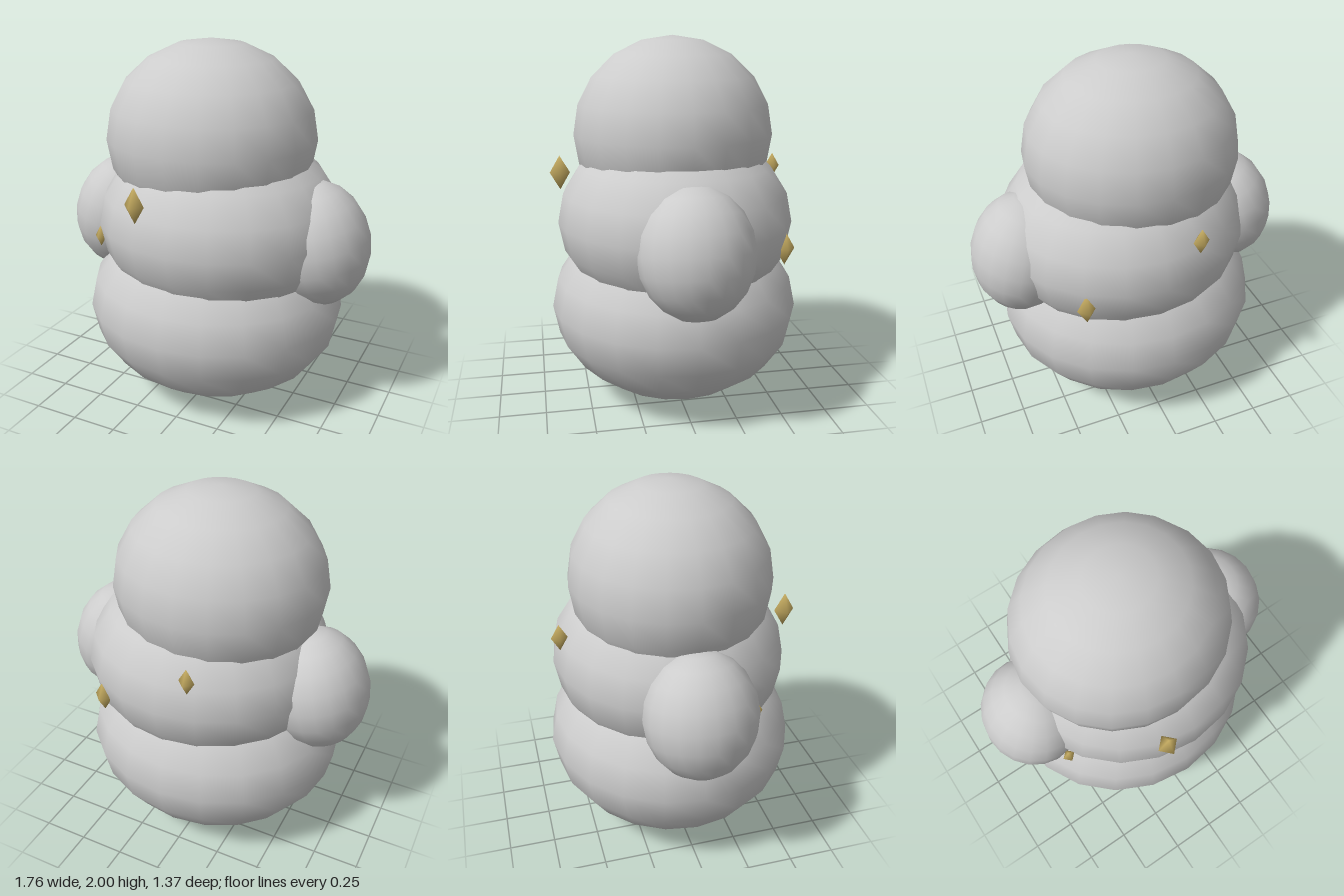
import * as THREE from 'three';

export function createModel() {
  const model = new THREE.Group();
  const stone = new THREE.MeshStandardMaterial({ color: 0xcccccc });
  stone.name = 'pale grey';
  const gold = new THREE.MeshStandardMaterial({ color: 0xc8ae62 });
  gold.name = 'soft gold';

  const ball = new THREE.SphereGeometry(1, 20, 10);
  const diamond = new THREE.SphereGeometry(1, 4, 2); // four-sided bipyramid

  const add = (name, geometry, material, position, radii, tilt = 0) => {
    const mesh = new THREE.Mesh(geometry, material);
    mesh.name = name;
    mesh.position.set(...position);
    mesh.scale.set(...radii);
    mesh.rotation.z = tilt;
    model.add(mesh);
  };

  // Stacked rounded body
  add('base', ball, stone, [0, 0.525, 0], [0.728, 0.52, 0.685]);
  add('torso', ball, stone, [0.035, 1.015, 0], [0.685, 0.515, 0.64]);
  add('head', ball, stone, [-0.025, 1.48, 0], [0.575, 0.52, 0.54]);

  // Arms, tops leaning inward
  for (const [name, side] of [['leftArm', 1], ['rightArm', -1]]) {
    add(name, ball, stone, [side * 0.603, 0.972, 0], [0.276, 0.336, 0.297], side * 0.21);
  }

  // Small gold studs on the torso
  add('frontStud', diamond, gold, [-0.145, 1.255, 0.615], [0.056, 0.095, 0.056]);
  add('backStud', diamond, gold, [-0.145, 1.255, -0.617], [0.043, 0.073, 0.043]);
  add('backLeftStud', diamond, gold, [0.42, 0.918, -0.515], [0.052, 0.09, 0.052]);
  add('frontRightStud', diamond, gold, [-0.567, 0.915, 0.31], [0.035, 0.06, 0.035]);

  return model;
}
